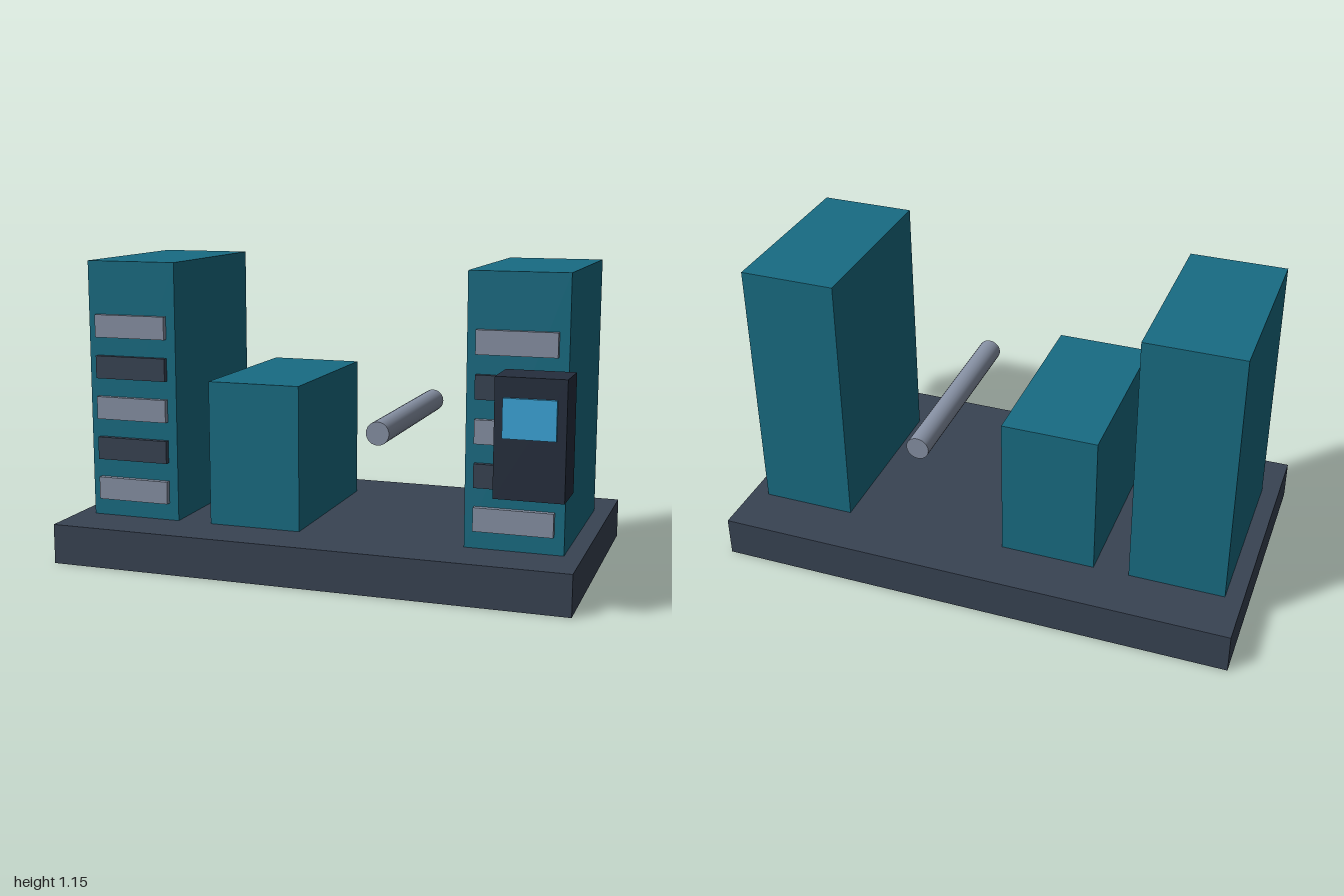
import * as THREE from 'three';

const paint = (color) => new THREE.MeshStandardMaterial({ color });

export function createModel() {
  const model = new THREE.Group();
  const slate = paint(0x384353);
  const teal = paint(0x186c83);
  const steel = paint(0x8791a4);
  const dark = paint(0x252e3d);
  const blue = paint(0x3ca6d9);

  // Box given by its extents along each axis
  function block(name, [x0, x1], [y0, y1], [z0, z1], material, parent = model) {
    const mesh = new THREE.Mesh(new THREE.BoxGeometry(x1 - x0, y1 - y0, z1 - z0), material);
    mesh.position.set((x0 + x1) / 2, (y0 + y1) / 2, (z0 + z1) / 2);
    mesh.name = name;
    parent.add(mesh);
    return mesh;
  }

  // Base slab
  block('base', [-1, 1], [0, 0.154], [-0.612, 0.498], slate);

  // Two tall cabinets, each with a column of alternating drawers
  const depth = [-0.404, 0.29];
  for (const side of [-1, 1]) {
    const cabinet = new THREE.Group();
    cabinet.name = side < 0 ? 'rightCabinet' : 'leftCabinet';
    const x = side * 0.751;
    block('cabinetBody', [x - 0.182, x + 0.182], [0.154, 1.155], depth, teal, cabinet);
    for (let i = 0; i < 5; i++) {
      const y = 0.266 + i * 0.16;
      block('drawer' + (i + 1), [x - 0.146, x + 0.146], [y - 0.044, y + 0.044],
        [0.293, 0.315], i % 2 ? slate : steel, cabinet);
    }
    model.add(cabinet);
  }

  // Low middle cabinet
  block('middleCabinet', [-0.433, -0.069], [0.154, 0.709], depth, teal);

  // Horizontal spindle running front to back
  const spindle = new THREE.Mesh(new THREE.CylinderGeometry(0.044, 0.044, 0.763, 24), steel);
  spindle.name = 'spindle';
  spindle.rotation.x = Math.PI / 2;
  spindle.position.set(0.25, 0.558, -0.057);
  model.add(spindle);

  // Control panel with its screen
  const panel = new THREE.Group();
  panel.name = 'controlPanel';
  block('panelHousing', [0.74, 0.982], [0.42, 0.834], [0.428, 0.6], dark, panel);
  block('screen', [0.77, 0.951], [0.629, 0.765], [0.596, 0.613], blue, panel);
  model.add(panel);

  return model;
}
